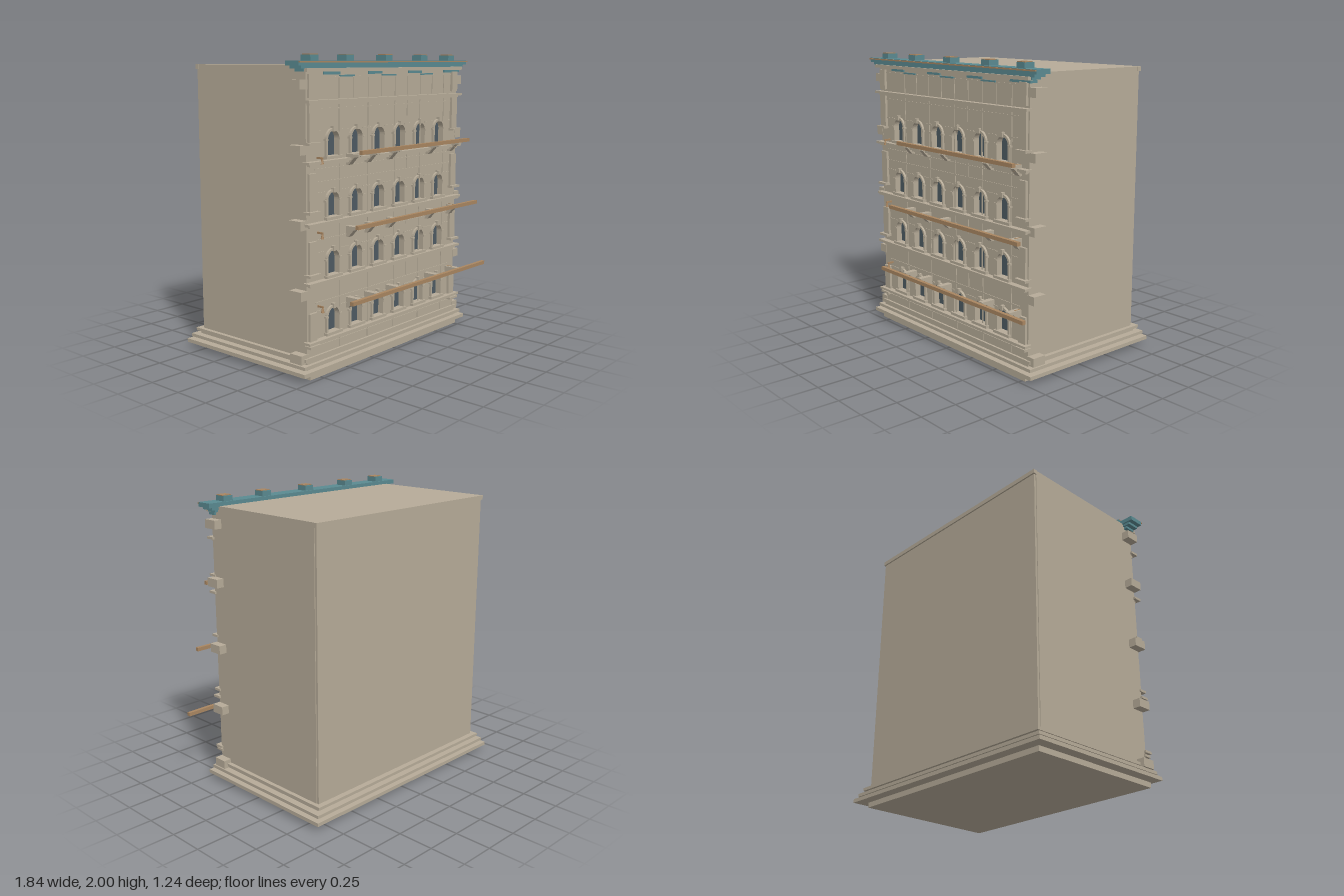
import * as THREE from 'three';

const material = (name, color) => {
  const m = new THREE.MeshStandardMaterial({ color });
  m.name = name;
  return m;
};

export function createModel() {
  const model = new THREE.Group();
  model.name = 'building';
  const stone = material('stone', 0xb6ab98);
  const teal = material('teal cornice', 0x5a8a91);
  const wood = material('wood', 0xa98661);
  const glass = material('window glass', 0x4e5b63);

  const add = (name, geometry, mat, parent = model) => {
    const mesh = new THREE.Mesh(geometry, mat);
    mesh.name = name;
    parent.add(mesh);
    return mesh;
  };
  // box given by its limits on each axis
  const box = (name, x0, x1, y0, y1, z0, z1, mat = stone, parent = model) => {
    const mesh = add(name, new THREE.BoxGeometry(x1 - x0, y1 - y0, z1 - z0), mat, parent);
    mesh.position.set((x0 + x1) / 2, (y0 + y1) / 2, (z0 + z1) / 2);
    return mesh;
  };
  const group = (name) => {
    const g = new THREE.Group();
    g.name = name;
    model.add(g);
    return g;
  };

  const L = -0.835, R = 0.77, MID = (L + R) / 2, FRONT = 0.435;
  const columns = [-0.6, -0.373, -0.146, 0.082, 0.31, 0.537];
  const rows = [0.26, 0.63, 1.0, 1.38];

  // main block, back slab and roof edge
  box('mainBlock', L, R, 0, 1.935, -0.53, 0.4);
  box('backSlab', L + 0.005, R - 0.005, 0.03, 1.91, -0.545, -0.53);
  box('roofEdge', L - 0.003, R + 0.003, 1.905, 1.935, -0.555, -0.525);

  // stepped plinth
  const plinth = group('plinth');
  box('plinthFoot', L - 0.003, R + 0.003, 0, 0.035, -0.55, 0.465, stone, plinth);
  box('plinthCore', L - 0.01, R + 0.01, 0.035, 0.115, -0.555, 0.445, stone, plinth);
  [[0.035, 0.06, 0.078, -0.622, 0.487], [0.075, 0.096, 0.056, -0.602, 0.468],
    [0.115, 0.135, 0.028, -0.583, 0.45]].forEach(([y0, y1, out, z0, z1]) =>
    box('plinthStep', L - out, R + out, y0, y1, z0, z1, stone, plinth));

  // round-headed opening, w wide and h high, standing at (x, y)
  const arch = (path, x, y, w, h) => {
    const r = w / 2;
    path.moveTo(x - r, y);
    path.lineTo(x + r, y);
    path.lineTo(x + r, y + h - r);
    path.absarc(x, y + h - r, r, 0, Math.PI, false);
    path.lineTo(x - r, y);
    return path;
  };

  // front wall with window openings
  const wall = new THREE.Shape([[L, 0.1], [R, 0.1], [R, 1.9], [L, 1.9]].map((p) => new THREE.Vector2(...p)));
  rows.forEach((y) => columns.forEach((x) => wall.holes.push(arch(new THREE.Path(), x, y, 0.105, 0.155))));
  const wallMesh = add('frontWall',
    new THREE.ExtrudeGeometry(wall, { depth: FRONT - 0.4, bevelEnabled: false, curveSegments: 8 }), stone);
  wallMesh.position.z = 0.4;

  // windows: pane, surround, keystone and sill
  const frame = arch(new THREE.Shape(), 0, 0, 0.135, 0.17);
  frame.holes.push(arch(new THREE.Path(), 0, 0, 0.105, 0.155));
  const frameGeo = new THREE.ExtrudeGeometry(frame, { depth: 0.016, bevelEnabled: false, curveSegments: 8 });
  const paneGeo = new THREE.ShapeGeometry(arch(new THREE.Shape(), 0, 0, 0.107, 0.157), 8);
  rows.forEach((y) => columns.forEach((x) => {
    const w = group('window');
    w.position.set(x, y, 0);
    add('pane', paneGeo, glass, w).position.z = 0.408;
    add('surround', frameGeo, stone, w).position.z = FRONT;
    box('keystone', -0.01, 0.01, 0.15, 0.182, FRONT, 0.459, stone, w);
    box('sill', -0.076, 0.076, -0.018, 0, FRONT, 0.462, stone, w);
    for (const s of [-1, 1]) {
      box('impost', s * 0.066 - 0.012, s * 0.066 + 0.012, 0.095, 0.107, FRONT, 0.455, stone, w);
    }
  }));

  // fine ribs marking the stone courses
  const joints = group('stoneJoints');
  [0.19, 0.415, 0.47, 0.785, 0.865, 1.157, 1.225, 1.305, 1.535, 1.67, 1.86].forEach((y) => {
    let start = -0.76;
    for (const x of [...columns, null]) {
      // interrupted where it would cross a window
      const blocked = x !== null && rows.some((r) => y > r - 0.02 && y < r + 0.18);
      if (x !== null && !blocked) continue;
      const end = x === null ? 0.69 : x - 0.066;
      box('bedJoint', start, end, y - 0.004, y + 0.004, FRONT, FRONT + 0.005, stone, joints);
      if (x !== null) start = x + 0.066;
    }
  });
  [[0.14, 0.6], [0.62, 0.965], [0.985, 1.34], [1.36, 1.71], [1.73, 1.86]].forEach(([y0, y1], i) => {
    for (let x = -0.53; x < 0.65; x += 0.2845) {
      box('uprightJoint', x - 0.005, x + 0.005, y0, y1, FRONT, FRONT + 0.005, stone, joints);
      if (i === 4 && x < 0.5) {
        box('uprightJoint', x + 0.137, x + 0.147, y0, y1, FRONT, FRONT + 0.005, stone, joints);
      }
    }
    box('uprightJoint', 0.17, 0.18, y1 - 0.12, y1, FRONT, FRONT + 0.005, stone, joints);
  });

  // string courses between floors
  [0.23, 0.605, 0.973, 1.35, 1.718].forEach((y) => {
    box('stringCourse', L - 0.018, R + 0.016, y - 0.008, y + 0.008, 0.42, 0.478);
    box('courseMoulding', L + 0.01, R - 0.01, y - 0.022, y - 0.008, FRONT, 0.458);
  });

  // corner pilasters and side quoins, mirrored about the middle
  for (const s of [-1, 1]) {
    const side = (name, a, b, y0, y1, z0, z1) => {
      const p = MID + s * a, q = MID + s * b;
      box(name, Math.min(p, q), Math.max(p, q), y0, y1, z0, z1);
    };
    [[0.21, 0.415], [0.66, 0.865], [1.05, 1.285], [1.47, 1.7], [1.74, 1.88]].forEach(([y0, y1], i) => {
      side('pilaster', 0.725, 0.79, y0, y1, FRONT, 0.453);
      if (i < 4) side('pilasterLedge', 0.715, 0.812, y0 - 0.012, y0 + 0.004, 0.42, 0.475);
    });
    [0.132, 0.535, 0.973, 1.43, 1.82].forEach((y) =>
      side('quoin', 0.79, 0.858, y - 0.029, y + 0.029, 0.34, FRONT + 0.004));
  }

  // stepped teal cornice with pedestals
  const cornice = group('cornice');
  box('corniceTop', -0.92, 0.853, 1.93, 1.96, 0.35, 0.462, teal, cornice);
  box('corniceTrim', -0.921, 0.854, 1.948, 1.957, 0.462, 0.472, wood, cornice);
  box('corniceStep', -0.89, 0.825, 1.912, 1.93, 0.36, 0.452, teal, cornice);
  box('corniceLower', -0.86, 0.795, 1.895, 1.912, 0.37, 0.444, teal, cornice);
  box('corniceBed', L - 0.02, R + 0.02, 1.893, 1.915, 0.42, 0.468, stone, cornice);
  [[-0.68, -0.53], [-0.25, -0.11], [0.18, 0.33], [0.6, 0.785]].forEach(([a, b]) =>
    box('corniceDentil', a, b, 1.875, 1.893, 0.39, 0.445, teal, cornice));
  [[-0.53, -0.39], [-0.11, 0.04], [0.32, 0.46]].forEach(([a, b]) =>
    box('corniceDentil', a, b, 1.862, 1.872, 0.39, 0.445, teal, cornice));
  [-0.76, -0.43, -0.035, 0.36, 0.69].forEach((x) => {
    box('pedestal', x - 0.037, x + 0.037, 1.96, 1.995, 0.36, 0.44, teal, cornice);
    box('pedestalCap', x - 0.037, x + 0.037, 1.995, 2, 0.375, 0.436, wood, cornice);
  });

  // wooden planks carried on wedge brackets
  const wedge = new THREE.Shape([[0.43, 0], [0.535, 0], [0.535, -0.014], [0.5, -0.022], [0.455, -0.07], [0.43, -0.07]]
    .map(([z, y]) => new THREE.Vector2(-z, y)));
  const bracketGeo = new THREE.ExtrudeGeometry(wedge, { depth: 0.04, bevelEnabled: false });
  bracketGeo.rotateY(Math.PI / 2).translate(-0.02, 0, 0);
  [[1.38, -0.46, 0.76, 0.54], [0.918, -0.53, 0.838, 0.567], [0.452, -0.61, 0.918, 0.594]].forEach(([y, x0, x1, z]) => {
    box('plank', x0, x1, y, y + 0.025, z, z + 0.025, wood);
    [-0.445, -0.26, -0.032, 0.42, 0.685].forEach((x) =>
      add('bracket', bracketGeo, stone).position.set(x, y, 0));
    // small hanging hooks at the ends of each floor
    for (const x of [-0.735, 0.69]) {
      box('hookArm', x - 0.004, x + 0.004, y - 0.01, y + 0.002, FRONT, 0.482, wood);
      add('hookWeight', new THREE.CylinderGeometry(0.004, 0.011, 0.035, 8), wood).position.set(x, y - 0.022, 0.476);
    }
  });

  return model;
}
